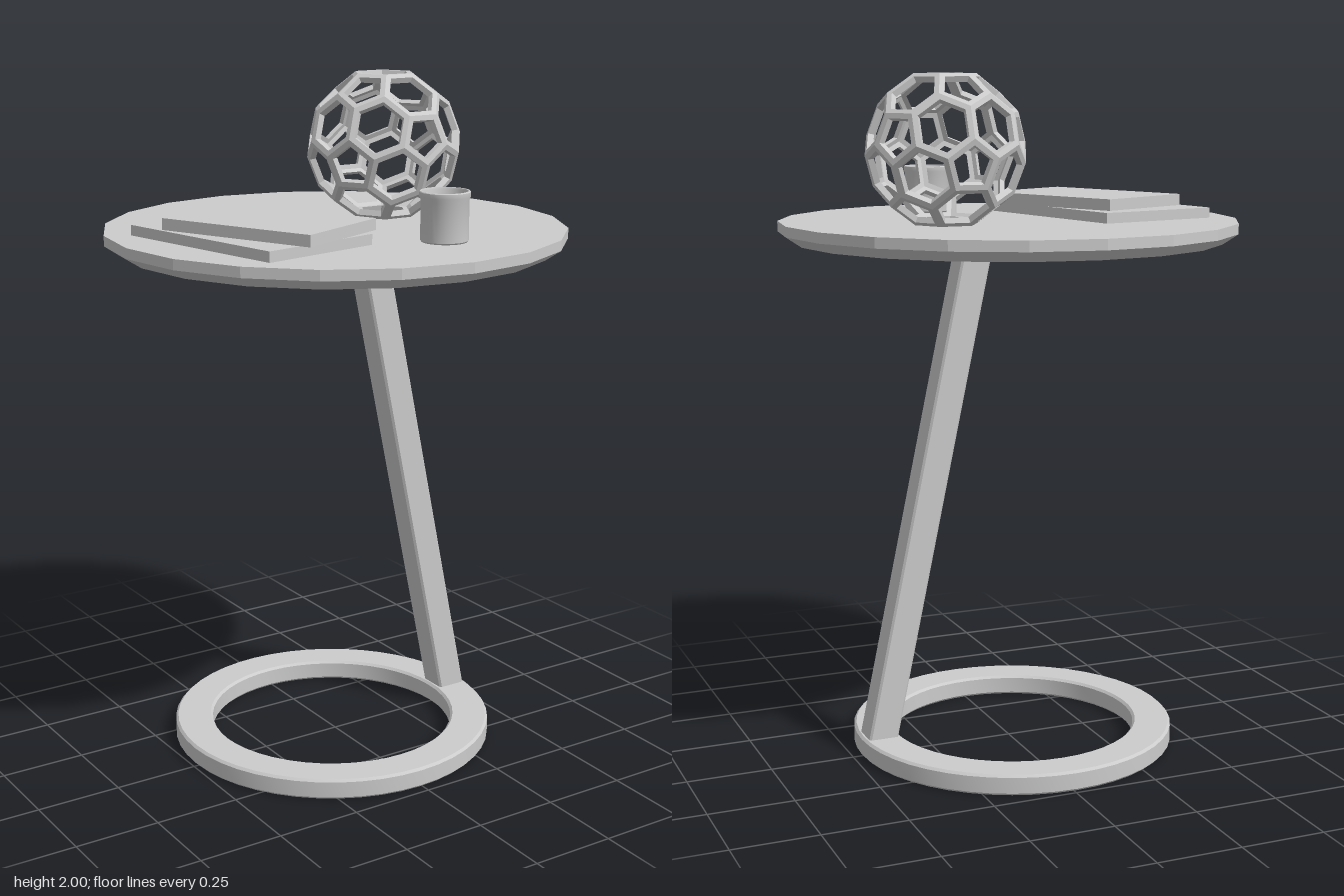
import * as THREE from 'three';
import { toCreasedNormals } from 'three/addons/utils/BufferGeometryUtils.js';

const smooth = new THREE.MeshStandardMaterial({ color: 0xcccccc });
const faceted = new THREE.MeshStandardMaterial({ color: 0xcccccc, flatShading: true });

function add(parent, name, geometry, material, x = 0, y = 0, z = 0) {
  const mesh = new THREE.Mesh(geometry, material);
  mesh.name = name;
  mesh.position.set(x, y, z);
  parent.add(mesh);
  return mesh;
}

// Turned part from [radius, height] pairs
function lathe(profile, segments) {
  return new THREE.LatheGeometry(profile.map(([r, y]) => new THREE.Vector2(r, y)), segments);
}

// Slanted square leg: chamfered section, sheared from foot to top
function legGeometry(footX, topX, y0, y1) {
  const h = 0.045, c = 0.006;
  const section = new THREE.Shape([
    [-h + c, -h], [h - c, -h], [h, -h + c], [h, h - c],
    [h - c, h], [-h + c, h], [-h, h - c], [-h, -h + c],
  ].map(([x, y]) => new THREE.Vector2(x, y)));
  const g = new THREE.ExtrudeGeometry(section, { depth: y1 - y0, bevelEnabled: false });
  g.rotateX(-Math.PI / 2);
  const p = g.attributes.position;
  for (let i = 0; i < p.count; i++) {
    const t = p.getY(i) / (y1 - y0);
    p.setXYZ(i, p.getX(i) + footX + (topX - footX) * t, p.getY(i) + y0, p.getZ(i));
  }
  g.computeVertexNormals();
  return g;
}

// Open lattice ball: every face of a truncated icosahedron becomes a frame
function latticeBall(radius, strut, depth) {
  const phi = (1 + Math.sqrt(5)) / 2;
  const corners = [];
  for (const a of [1, -1]) for (const b of [phi, -phi]) {
    corners.push(new THREE.Vector3(0, a, b), new THREE.Vector3(a, b, 0), new THREE.Vector3(b, 0, a));
  }
  // Turn it so a hexagon faces up and a pentagon leans to the back
  const up = new THREE.Vector3(1, 1, 1).normalize();
  const front = new THREE.Vector3(0, 1, phi).projectOnPlane(up).normalize().negate();
  const side = new THREE.Vector3().crossVectors(up, front);
  const turn = new THREE.Matrix4().makeBasis(side, up, front).transpose();
  corners.forEach((v) => v.applyMatrix4(turn));

  const near = (a, b) => Math.abs(a.distanceTo(b) - 2) < 0.01;
  const points = [], faceDirs = corners.map((v) => v.clone().normalize());
  corners.forEach((a, i) => corners.forEach((b, j) => {
    if (!near(a, b)) return;
    points.push(a.clone().lerp(b, 1 / 3).setLength(radius));
    for (let k = j + 1; i < j && k < 12; k++) {
      const c = corners[k];
      if (near(a, c) && near(b, c)) faceDirs.push(a.clone().add(b).add(c).normalize());
    }
  }));

  const pos = [];
  for (const d of faceDirs) {
    const reach = Math.max(...points.map((p) => p.dot(d)));
    const rim = points.filter((p) => p.dot(d) > reach - 1e-4);
    const u = rim[0].clone().projectOnPlane(d).normalize();
    const v = new THREE.Vector3().crossVectors(d, u);
    const angle = (p) => Math.atan2(p.dot(v), p.dot(u));
    rim.sort((a, b) => angle(a) - angle(b));
    const n = rim.length, centre = d.clone().multiplyScalar(reach);
    const apothem = rim[0].distanceTo(centre) * Math.cos(Math.PI / n);
    const hole = rim.map((p) => p.clone().lerp(centre, strut / 2 / apothem));
    const inward = (loop) => loop.map((p) => p.clone().multiplyScalar(1 - depth / radius));
    const loops = [rim, hole, inward(hole), inward(rim)];
    for (let l = 0; l < 3; l++) for (let i = 0; i < n; i++) {
      const j = (i + 1) % n;
      const [a, b, c, e] = [loops[l][i], loops[l][j], loops[l + 1][j], loops[l + 1][i]];
      for (const p of [a, b, c, a, c, e]) pos.push(p.x, p.y, p.z);
    }
  }
  const g = new THREE.BufferGeometry();
  g.setAttribute('position', new THREE.Float32BufferAttribute(pos, 3));
  g.computeVertexNormals();
  return g;
}

export function createModel() {
  const model = new THREE.Group();
  model.name = 'sideTable';

  // Ring foot with softened edges
  const ring = lathe([
    [0.376, 0], [0.476, 0], [0.483, 0.007], [0.483, 0.054], [0.476, 0.061],
    [0.376, 0.061], [0.369, 0.054], [0.369, 0.007], [0.376, 0],
  ], 48);
  add(model, 'baseRing', toCreasedNormals(ring, 0.5), smooth, -0.008, 0, -0.008);

  // Slanted leg
  add(model, 'leg', legGeometry(0.418, 0.105, 0.055, 1.53), faceted);

  // Twenty-sided top with a chamfered underside
  add(model, 'tableTop', lathe([[0, 1.52], [0.625, 1.52], [0.67, 1.55], [0.67, 1.58], [0, 1.58]], 20), faceted);

  // Two stacked books
  const lower = add(model, 'lowerBook', new THREE.BoxGeometry(0.378, 0.03, 0.575), smooth, -0.326, 1.595, 0.072);
  lower.rotation.y = 0.203;
  const upper = add(model, 'upperBook', new THREE.BoxGeometry(0.323, 0.033, 0.492), smooth, -0.287, 1.6265, 0.11);
  upper.rotation.y = 0.42;

  // Hollow cup with a slight lip
  const cup = lathe([
    [0, 0], [0.064, 0], [0.067, 0.004], [0.067, 0.115], [0.071, 0.125], [0.071, 0.138],
    [0.069, 0.14], [0.064, 0.14], [0.062, 0.135], [0.062, 0.01], [0, 0.01],
  ], 32);
  add(model, 'cup', toCreasedNormals(cup, 0.6), smooth, 0.115, 1.58, 0.377);

  // Decorative lattice ball
  add(model, 'latticeBall', latticeBall(0.2295, 0.03, 0.018), faceted, 0.228, 1.79, -0.09);

  return model;
}
